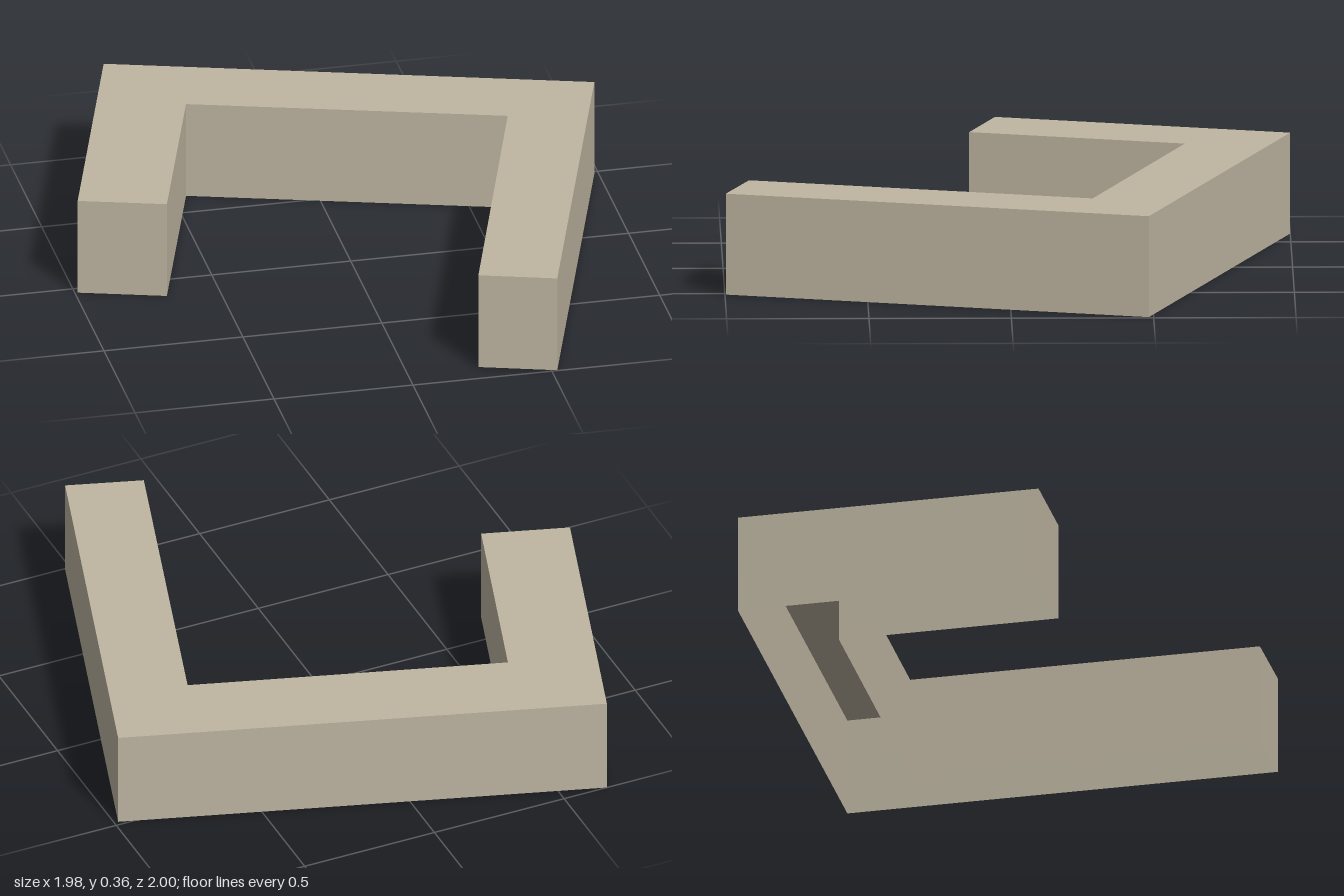
import * as THREE from 'three';

// Footprint corners as [x, z], clockwise seen from above
const FOOTPRINT = [
  [-0.665, -1.0], [0.985, -0.483], [0.52, 0.997], [0.255, 0.912],
  [0.63, -0.29], [-0.452, -0.627], [-0.69, 0.127], [-0.99, 0.033],
];
const HEIGHT = 0.36;

// One upright rectangle per footprint edge, facing outwards
function wallGeometry(points, height) {
  const positions = [];
  points.forEach(([ax, az], i) => {
    const [bx, bz] = points[(i + 1) % points.length];
    positions.push(
      ax, 0, az, ax, height, az, bx, height, bz,
      ax, 0, az, bx, height, bz, bx, 0, bz,
    );
  });
  const geometry = new THREE.BufferGeometry();
  geometry.setAttribute('position', new THREE.Float32BufferAttribute(positions, 3));
  geometry.computeVertexNormals();
  return geometry;
}

export function createModel() {
  const group = new THREE.Group();
  group.name = 'building';

  const stone = new THREE.MeshStandardMaterial({ color: 0xbfb6a2, side: THREE.DoubleSide });
  stone.name = 'stone';

  // Outer and courtyard walls; the shell is open underneath
  const walls = new THREE.Mesh(wallGeometry(FOOTPRINT, HEIGHT), stone);
  walls.name = 'walls';

  // Flat U-shaped roof
  const outline = new THREE.Shape(FOOTPRINT.map(([x, z]) => new THREE.Vector2(x, -z)));
  const roof = new THREE.Mesh(new THREE.ShapeGeometry(outline).rotateX(-Math.PI / 2), stone);
  roof.position.y = HEIGHT;
  roof.name = 'roof';

  group.add(walls, roof);
  return group;
}
